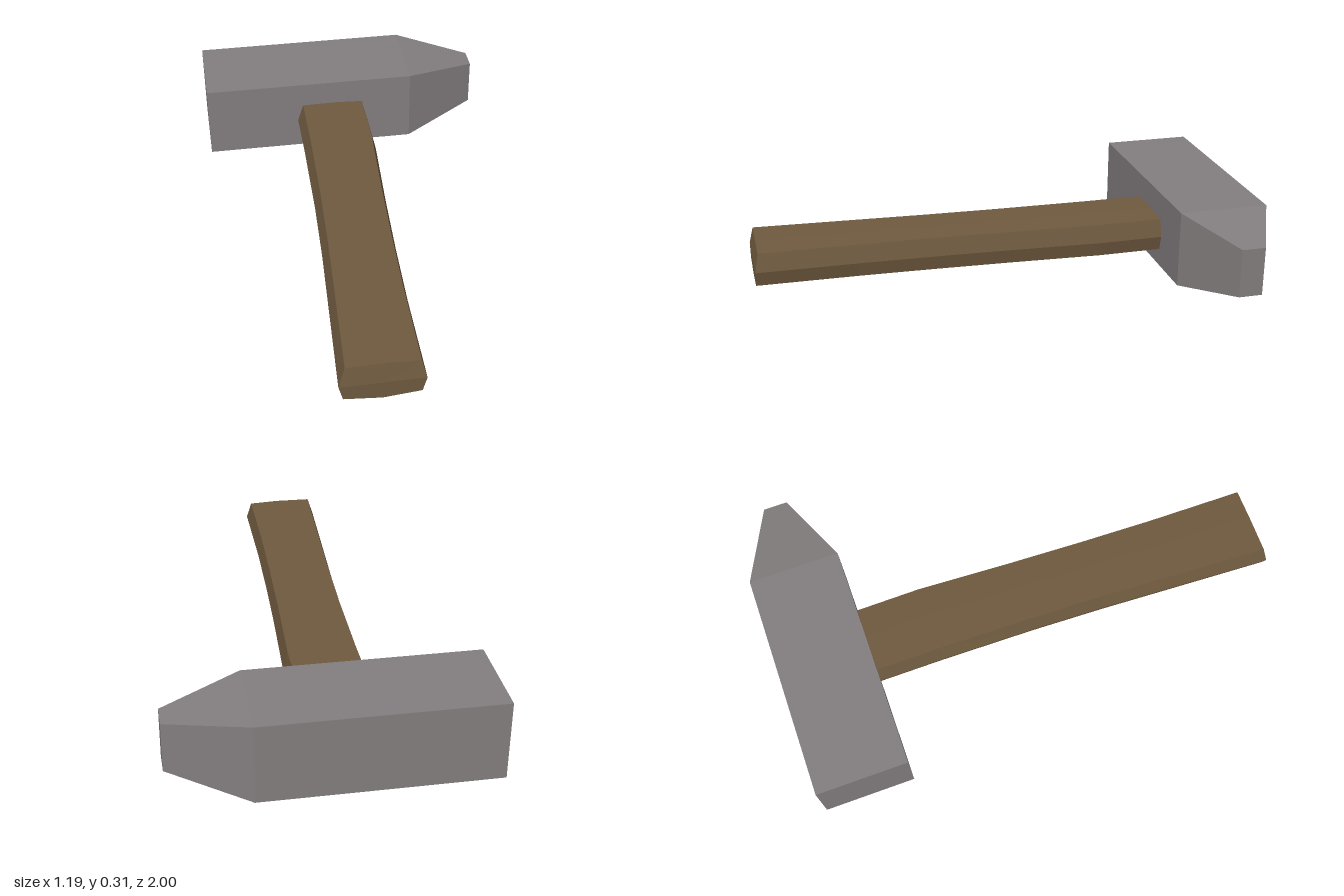
import * as THREE from 'three';

const material = (color) => new THREE.MeshStandardMaterial({ color, flatShading: true });

// Block head: a box whose +x half is narrowed into a blunt wedge
function createHead() {
  const geo = new THREE.BoxGeometry(1.19, 0.31, 0.36, 2, 1, 1);
  const p = geo.attributes.position;
  for (let i = 0; i < p.count; i++) {
    const x = p.getX(i);
    if (Math.abs(x) < 0.01) p.setX(i, 0.295);
    if (x > 0.5) {
      p.setY(i, 0.0125 + Math.sign(p.getY(i)) * 0.0975);
      p.setZ(i, 0.003 + Math.sign(p.getZ(i)) * 0.047);
    }
  }
  geo.computeVertexNormals();
  const head = new THREE.Mesh(geo, material(0x837e7f));
  head.position.set(0, 0.155, -0.82);
  head.name = 'hammerHead';
  return head;
}

// Curved handle: one faceted section swept along z, with its own left and right edge per row
function createHandle() {
  const rows = [ // z, left x, right x
    [-0.82, -0.205, 0.095], [-0.64, -0.205, 0.098], [-0.38, -0.205, 0.1],
    [0, -0.21, 0.08], [0.3, -0.22, 0.068], [0.6, -0.235, 0.06], [1, -0.255, 0.057],
  ];
  const section = [ // fraction across, y
    [0, 0.13], [0.08, 0.205], [0.55, 0.207], [0.94, 0.202],
    [1, 0.13], [0.95, 0.07], [0.5, 0.056], [0.05, 0.07],
  ];
  const n = section.length, last = rows.length - 1;
  const pos = [], index = [];
  rows.forEach(([z, l, r], i) => section.forEach(([u, y]) => {
    // The upper edge of the butt end is set back slightly
    pos.push(l + (r - l) * u, y, i === last && y > 0.15 ? z - 0.015 : z);
  }));
  for (let i = 0; i < last; i++) for (let j = 0; j < n; j++) {
    const a = i * n + j, b = i * n + (j + 1) % n;
    index.push(a, a + n, b, b, a + n, b + n);
  }
  // End caps
  for (const row of [0, last]) {
    const [z, l, r] = rows[row], centre = pos.length / 3;
    pos.push((l + r) / 2, 0.13, z);
    for (let j = 0; j < n; j++) {
      const a = row * n + j, b = row * n + (j + 1) % n;
      index.push(centre, ...(row ? [b, a] : [a, b]));
    }
  }
  const geo = new THREE.BufferGeometry();
  geo.setAttribute('position', new THREE.Float32BufferAttribute(pos, 3));
  geo.setIndex(index);
  geo.computeVertexNormals();
  const handle = new THREE.Mesh(geo, material(0x6f5a3f));
  handle.name = 'handle';
  return handle;
}

export function createModel() {
  const hammer = new THREE.Group();
  hammer.name = 'hammer';
  hammer.add(createHead(), createHandle());
  return hammer;
}
